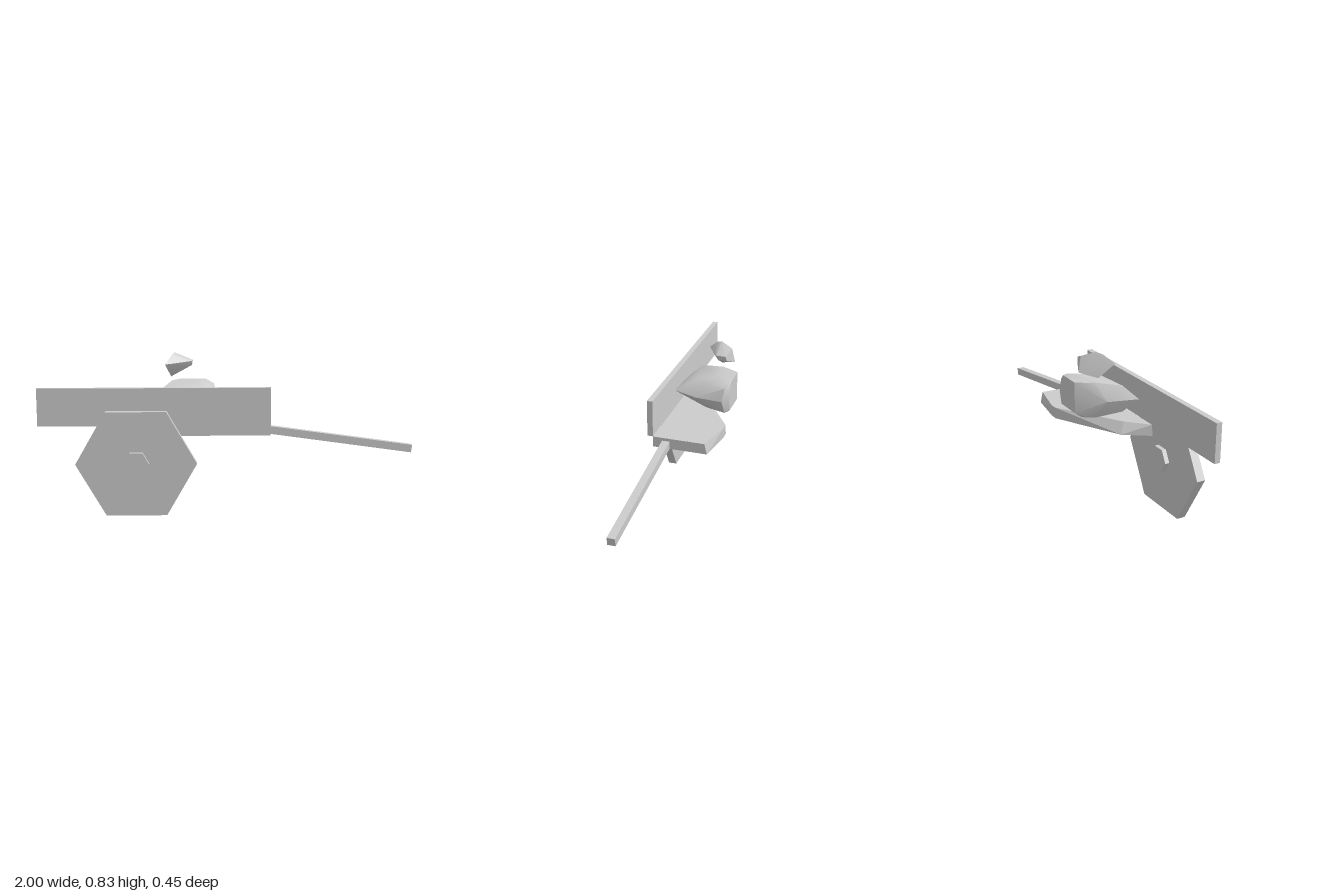
import * as THREE from 'three';
import { ConvexGeometry } from 'three/addons/geometries/ConvexGeometry.js';
import { toCreasedNormals } from 'three/addons/utils/BufferGeometryUtils.js';

export function createModel() {
  const group = new THREE.Group();
  const grey = new THREE.MeshStandardMaterial({ color: 0xcccccc });
  grey.name = 'plain grey';

  const add = (name, geometry, x = 0, y = 0, z = 0) => {
    const mesh = new THREE.Mesh(geometry, grey);
    mesh.name = name;
    mesh.position.set(x, y, z);
    group.add(mesh);
    return mesh;
  };

  // Faceted solid around a handful of corner points
  const hull = (points, crease) => toCreasedNormals(
    new ConvexGeometry(points.map((p) => new THREE.Vector3(...p))), crease);
  // Corner points of one level: [x, z] pairs at height y
  const level = (y, pairs) => pairs.map(([x, z]) => [x, y, z]);
  // Six-sided disc facing front
  const hexDisc = (radius, depth) => toCreasedNormals(
    new THREE.CylinderGeometry(radius, radius, depth, 6, 1, false, Math.PI / 2).rotateX(Math.PI / 2), 0.3);

  // Side board
  add('sideBoard', new THREE.BoxGeometry(1.225, 0.2, 0.03), -0.3875, 0.566, 0.118);

  // Bed, a little wider below
  add('bed', hull([
    ...level(0.465, [[0.225, 0.103], [0.225, -0.177], [0.02, -0.222], [-0.02, -0.222], [-0.36, 0], [-0.465, 0.103]]),
    ...level(0.407, [[0.225, 0.103], [0.225, -0.19], [0.02, -0.222], [-0.03, -0.222], [-0.385, -0.03], [-0.473, 0.103]]),
  ], 0.1));

  // Wheel and hub
  add('wheel', hexDisc(0.317, 0.046), -0.482, 0.2755, 0.18);
  add('wheelHub', hexDisc(0.07, 0.093), -0.482, 0.277, 0.1795);

  // Handle sloping down to the side
  const shaft = new THREE.Shape([[0.225, 0.407], [0.995, 0.3], [1, 0.341], [0.225, 0.449]]
    .map(([x, y]) => new THREE.Vector2(x, y)));
  add('handle', new THREE.ExtrudeGeometry(shaft, { depth: 0.041, bevelEnabled: false }), 0, 0, 0.012);

  // Large rounded load: wide at the middle, tapering up and down, cut flat at the back
  const shoulder = [[-0.345, 0], [-0.25, -0.025], [-0.15, -0.02], [-0.1, -0.09],
    [-0.07, -0.2], [-0.1, -0.222], [-0.25, -0.222], [-0.31, -0.13]];
  const crown = [[-0.3, -0.13], [-0.25, -0.14], [-0.16, -0.14], [-0.125, -0.16],
    [-0.11, -0.195], [-0.12, -0.222], [-0.25, -0.222], [-0.28, -0.17]];
  const base = crown.map(([x, z]) => [x, Math.max(z, -0.19)]);
  add('load', hull([
    ...level(0.677, crown),
    ...level(0.653, shoulder),
    ...level(0.583, [[-0.39, 0.07], [-0.25, 0.086], [-0.115, 0.092], [-0.06, -0.04],
      [-0.045, -0.19], [-0.08, -0.222], [-0.25, -0.222], [-0.35, -0.09]]),
    ...level(0.514, shoulder),
    ...level(0.49, base),
  ], 0.6));

  // Small faceted piece floating above the load
  add('smallLoad', hull([
    [-0.335, 0.772, -0.04], [-0.3, 0.82, -0.09], [-0.285, 0.832, -0.122],
    [-0.25, 0.812, -0.188], [-0.26, 0.73, -0.205], [-0.305, 0.7, -0.118],
    [-0.19, 0.785, -0.115], [-0.185, 0.786, -0.17], [-0.19, 0.76, -0.175], [-0.19, 0.762, -0.125],
  ], 0.5));

  return group;
}
